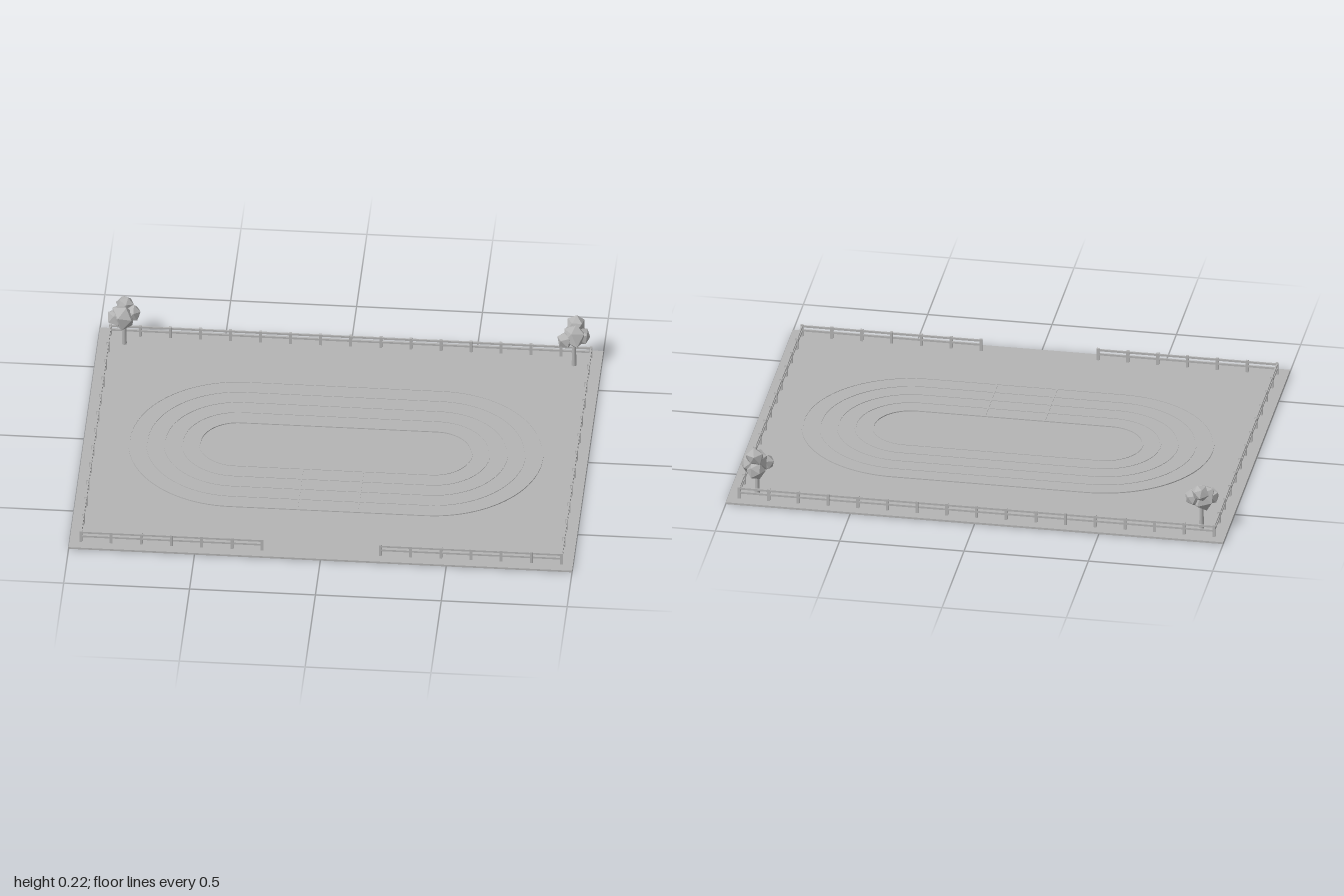
import * as THREE from 'three';

const GROUND = 0.008, HALF_STRAIGHT = 0.39;
const FENCE_X = 0.955, FENCE_Z = 0.716;

const stone = new THREE.MeshStandardMaterial({ color: 0xb4b4b4 });
stone.name = 'plain grey';

function add(parent, name, geometry, x = 0, y = 0, z = 0) {
  const mesh = new THREE.Mesh(geometry, stone);
  mesh.name = name;
  mesh.position.set(x, y, z);
  parent.add(mesh);
  return mesh;
}

// Stadium outline: two straights joined by half circles
function oval(path, r) {
  path.absarc(HALF_STRAIGHT, 0, r, -Math.PI / 2, Math.PI / 2, false);
  path.absarc(-HALF_STRAIGHT, 0, r, Math.PI / 2, Math.PI * 1.5, false);
  path.closePath();
  return path;
}

function ovalRing(inner, outer, height) {
  const shape = oval(new THREE.Shape(), outer);
  shape.holes.push(oval(new THREE.Path(), inner));
  return new THREE.ExtrudeGeometry(shape, { depth: height, bevelEnabled: false, curveSegments: 24 })
    .rotateX(-Math.PI / 2);
}

// Straight run of posts with two rails
function fence(parent, name, from, to, segments) {
  const run = new THREE.Group();
  run.name = name;
  const a = new THREE.Vector2(...from), b = new THREE.Vector2(...to);
  const length = a.distanceTo(b), alongX = Math.abs(b.x - a.x) > Math.abs(b.y - a.y);
  for (let i = 0; i <= segments; i++) {
    const p = a.clone().lerp(b, i / segments);
    add(run, 'fencePost', new THREE.BoxGeometry(0.011, 0.05, 0.011), p.x, GROUND + 0.025, p.y);
  }
  const mid = a.clone().add(b).multiplyScalar(0.5);
  for (const y of [0.033, 0.051]) {
    const size = alongX ? [length, 0.008, 0.006] : [0.006, 0.008, length];
    add(run, 'fenceRail', new THREE.BoxGeometry(...size), mid.x, y, mid.y);
  }
  parent.add(run);
}

// Faceted leaf clump; shared corners move together because the rule depends on position
function clump(radius, seed) {
  const g = new THREE.IcosahedronGeometry(1, 0);
  const p = g.attributes.position, v = new THREE.Vector3();
  for (let i = 0; i < p.count; i++) {
    v.fromBufferAttribute(p, i);
    const n = Math.sin(v.x * 12.9 + v.y * 78.2 + v.z * 37.7 + seed * 5.3);
    v.multiplyScalar(radius * (1 + 0.13 * n));
    p.setXYZ(i, v.x, v.y, v.z);
  }
  g.rotateY(seed).rotateX(seed * 0.7);
  g.computeVertexNormals();
  return g;
}

function tree(parent, name, x, z, clumps) {
  const t = new THREE.Group();
  t.name = name;
  t.position.set(x, GROUND, z);
  add(t, 'trunk', new THREE.CylinderGeometry(0.007, 0.011, 0.12, 6), 0, 0.06, 0);
  clumps.forEach(([cx, cy, cz, r], i) =>
    add(t, 'leafClump', clump(r, i + 1 + (x > 0 ? 4 : 0)), cx, cy - GROUND, cz));
  parent.add(t);
}

export function createModel() {
  const model = new THREE.Group();
  model.name = 'ovalTrackField';

  add(model, 'ground', new THREE.BoxGeometry(2, GROUND, 1.524), 0, GROUND / 2, 0);

  // Running track with lane lines
  add(model, 'track', ovalRing(0.15, 0.43, 0.002), 0, GROUND, 0);
  for (let i = 0; i < 5; i++) {
    const r = 0.15 + i * 0.07;
    add(model, 'laneLine', ovalRing(r - 0.003, r + 0.003, 0.004), 0, GROUND, 0);
  }
  for (const x of [-0.12, 0.12])
    add(model, 'startLine', new THREE.BoxGeometry(0.007, 0.004, 0.28), x, GROUND + 0.002, 0.29);

  // Fence with a gate opening at the front
  fence(model, 'backFence', [-FENCE_X, -FENCE_Z], [FENCE_X, -FENCE_Z], 16);
  for (const s of [-1, 1]) {
    fence(model, s > 0 ? 'leftFence' : 'rightFence', [s * FENCE_X, -FENCE_Z], [s * FENCE_X, FENCE_Z], 12);
    fence(model, s > 0 ? 'frontLeftFence' : 'frontRightFence', [s * FENCE_X, FENCE_Z], [s * 0.235, FENCE_Z], 6);
  }

  // Corner trees: each clump is x, height, z, radius
  tree(model, 'rightTree', -0.895, -0.66, [
    [-0.005, 0.145, 0.01, 0.051], [-0.03, 0.145, 0.02, 0.036],
    [0.033, 0.15, -0.01, 0.036], [0.002, 0.182, -0.028, 0.036]]);
  tree(model, 'leftTree', 0.892, -0.658, [
    [0, 0.15, 0, 0.054], [-0.03, 0.14, 0.015, 0.036],
    [0.032, 0.142, -0.012, 0.036], [0.005, 0.183, -0.03, 0.036], [0, 0.125, -0.035, 0.036]]);

  return model;
}
